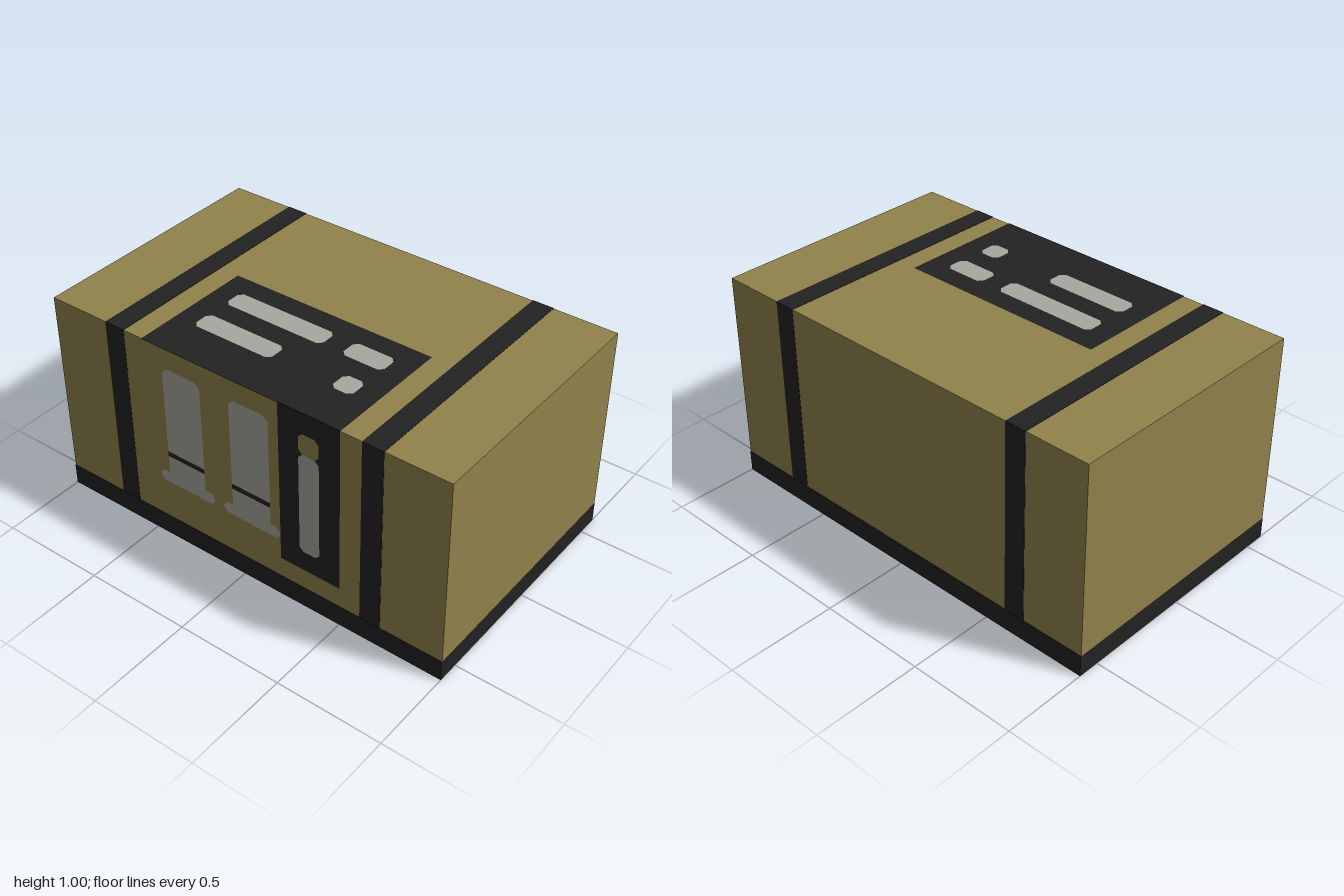
import * as THREE from 'three';

const STEP = 0.0015; // thickness of one painted layer
const HALF_X = 0.597; // crate wall and lid, leaving room for the paint layers
const TOP_Y = 0.997;

export function createModel() {
  const group = new THREE.Group();
  group.name = 'crate';

  const material = (name, color) => {
    const m = new THREE.MeshStandardMaterial({ color });
    m.name = name;
    return m;
  };
  const tan = material('olive tan', 0x91834c);
  const dark = material('charcoal', 0x222222);
  const grey = material('pale grey', 0xa8a8a0);

  const add = (name, geometry, mat) => {
    const mesh = new THREE.Mesh(geometry, mat);
    mesh.name = name;
    group.add(mesh);
    return mesh;
  };

  const box = (name, mat, w, y0, y1, d, z = 0) => {
    const mesh = add(name, new THREE.BoxGeometry(w, y1 - y0, d), mat);
    mesh.position.set(0, (y0 + y1) / 2, z);
  };

  // Flat rectangle with corners cut by c
  const plate = (u0, u1, v0, v1, c) => {
    const points = [
      [u0 + c, v0], [u1 - c, v0], [u1, v0 + c], [u1, v1 - c],
      [u1 - c, v1], [u0 + c, v1], [u0, v1 - c], [u0, v0 + c],
    ];
    return new THREE.ShapeGeometry(new THREE.Shape(points.map(([u, v]) => new THREE.Vector2(u, v))));
  };

  // Paint on the lid, given in x and z
  const lidPaint = (name, mat, layer, x0, x1, z0, z1, c = 0) => {
    const g = plate(x0, x1, -z1, -z0, c);
    g.rotateX(-Math.PI / 2).translate(0, TOP_Y + layer * STEP, 0);
    add(name, g, mat);
  };

  // Paint on the -x wall, given in z and y
  const wallPaint = (name, mat, layer, z0, z1, y0, y1, c = 0) => {
    const g = plate(z0, z1, y0, y1, c);
    g.rotateY(-Math.PI / 2).translate(-HALF_X - layer * STEP, 0, 0);
    add(name, g, mat);
  };

  // Crate and base
  box('base', dark, 1.2, 0, 0.1, 2);
  box('body', tan, HALF_X * 2, 0.1, TOP_Y, 2);

  // Straps round the sides and lid
  for (const z of [-0.65, 0.65]) {
    box('strap', dark, (HALF_X + STEP) * 2, 0.1, TOP_Y + STEP, 0.1, z);
  }

  // Label on the lid with pale bars
  lidPaint('lidLabel', dark, 1, -0.6, 0, -0.5, 0.5);
  const bars = [
    [-0.4, -0.3, -0.4, 0],
    [-0.4, -0.3, 0.3, 0.4],
    [-0.2, -0.1, -0.4, 0.1],
    [-0.2, -0.1, 0.2, 0.4],
  ];
  for (const bar of bars) lidPaint('lidBar', grey, 2, ...bar, 0.02);

  // Label folding down the wall, with a slot of two colours
  wallPaint('wallLabel', dark, 1, 0.2, 0.5, 0.2, 1);
  wallPaint('wallLabelBar', grey, 2, 0.3, 0.4, 0.3, 0.8, 0.02);
  wallPaint('wallLabelTip', tan, 2, 0.3, 0.4, 0.8, 0.9, 0.02);

  // Two shell symbols: case, rim and ring
  for (const z of [-0.3, 0.05]) {
    wallPaint('shellCase', grey, 1, z - 0.1, z + 0.1, 0.32, 0.9, 0.025);
    wallPaint('shellRim', grey, 1, z - 0.15, z + 0.15, 0.3, 0.355, 0.02);
    wallPaint('shellRing', dark, 2, z - 0.1, z + 0.1, 0.445, 0.47);
  }

  return group;
}
